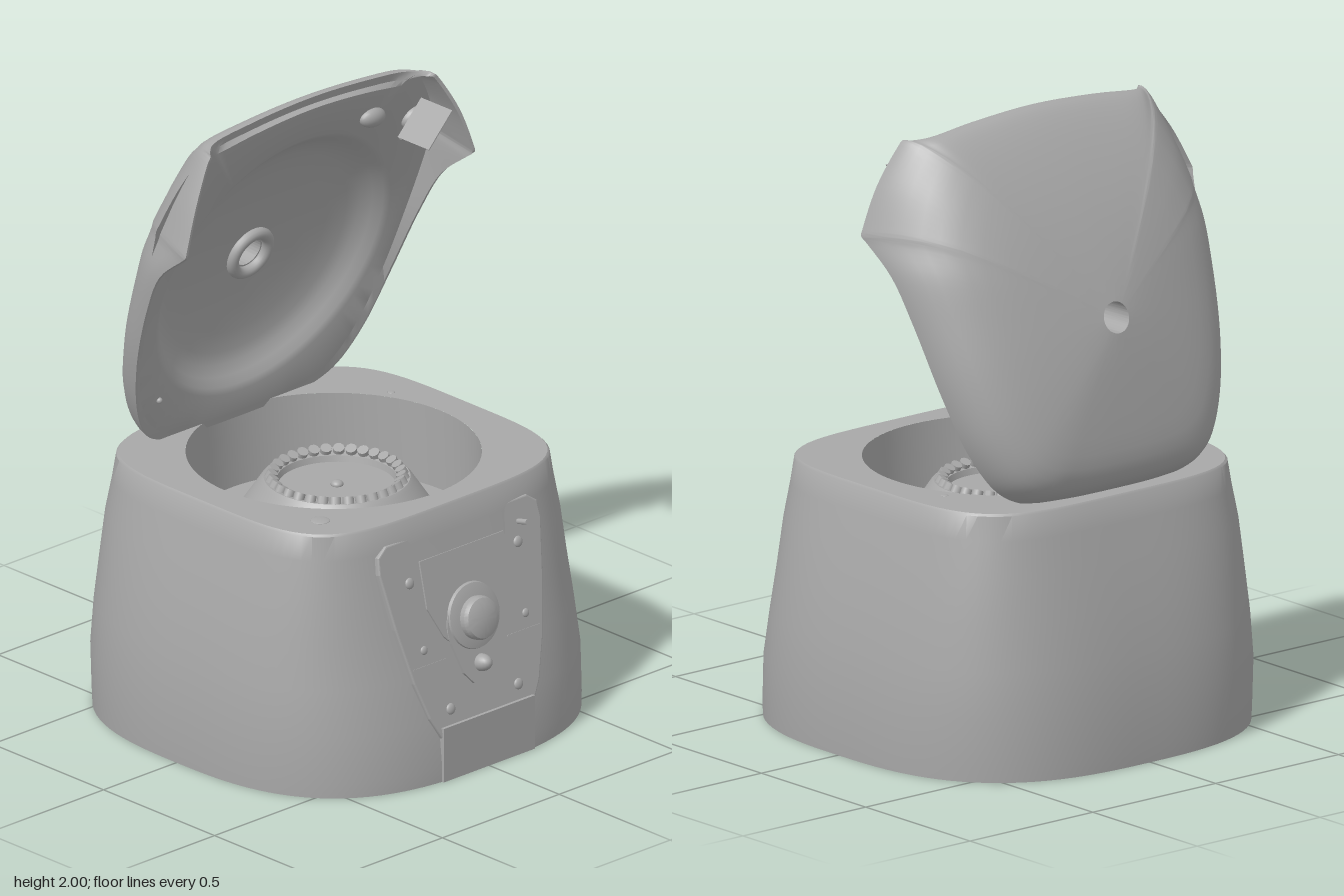
import * as THREE from 'three';
import { toCreasedNormals } from 'three/addons/utils/BufferGeometryUtils.js';

const grey = new THREE.MeshStandardMaterial({ color: 0xa8a8a8 });
grey.name = 'grey plastic';

const V = (x, y, z) => new THREE.Vector3(x, y, z);

function add(parent, name, geometry, x = 0, y = 0, z = 0) {
  const mesh = new THREE.Mesh(geometry, grey);
  mesh.name = name;
  mesh.position.set(x, y, z);
  parent.add(mesh);
  return mesh;
}

// Skin closed rings of equal length; the outside faces out when rings climb
function loft(rings, crease = 0.6) {
  const n = rings[0].length, pos = [], idx = [];
  rings.forEach(r => r.forEach(p => pos.push(p.x, p.y, p.z)));
  for (let i = 0; i < rings.length - 1; i++) {
    for (let j = 0; j < n; j++) {
      const a = i * n + j, b = i * n + (j + 1) % n, c = a + n, d = b + n;
      idx.push(a, c, b, b, c, d);
    }
  }
  const g = new THREE.BufferGeometry();
  g.setAttribute('position', new THREE.Float32BufferAttribute(pos, 3));
  g.setIndex(idx);
  return toCreasedNormals(g, crease);
}

const lathe = (pts, seg = 72) => toCreasedNormals(
  new THREE.LatheGeometry(pts.map(p => new THREE.Vector2(...p)), seg), 0.5);

const ball = (r, sx = 1, sy = 1, sz = 1) =>
  new THREE.SphereGeometry(r, 20, 14).scale(sx, sy, sz);

// Rounded-square ring with separate front and back depths
function bodyRing(y, hx, zf, zb, n, scale = 1, count = 120) {
  return Array.from({ length: count }, (_, i) => {
    const t = i / count * Math.PI * 2, c = Math.cos(t), s = Math.sin(t);
    const k = scale * (Math.abs(c) ** n + Math.abs(s) ** n) ** (-1 / n);
    return V(hx * c * k, y, (s > 0 ? zf : zb) * s * k);
  });
}

function buildBody(model) {
  // y, half width, front depth, back depth, squareness
  const sections = [
    [0, 0.688, 0.686, 0.688, 2.8], [0.05, 0.69, 0.686, 0.69, 2.8],
    [0.2, 0.688, 0.669, 0.688, 2.9], [0.35, 0.673, 0.636, 0.673, 3.0],
    [0.5, 0.648, 0.602, 0.648, 3.2], [0.65, 0.617, 0.569, 0.617, 3.6],
    [0.76, 0.59, 0.544, 0.59, 3.9], [0.838, 0.572, 0.528, 0.572, 4.2]];
  const rings = sections.map(s => bodyRing(...s));
  rings.unshift(bodyRing(0, 0.688, 0.686, 0.688, 2.8, 0.001));
  rings.push(bodyRing(0.845, 0.572, 0.528, 0.572, 4.2, 0.99));
  const mouthZ = -0.015;
  rings.push(bodyRing(0.845, 0.46, 0.46, 0.46, 2).map(p => p.setZ(p.z + mouthZ)));
  add(model, 'housing', loft(rings));

  // Chamber and rotor
  add(model, 'chamber', lathe([[0.46, 0.845], [0.46, 0.58], [0.32, 0.58]]), 0, 0, mouthZ);
  add(model, 'rotor', lathe([[0.345, 0.575], [0.345, 0.595], [0.238, 0.755],
    [0.228, 0.765], [0.188, 0.755], [0.183, 0.735], [0, 0.735]]));
  add(model, 'rotorHub', ball(0.02, 1, 0.7, 1), 0, 0.738, 0);
  for (let i = 0; i < 32; i++) {
    const holder = new THREE.Group();
    holder.name = 'tubeHolder';
    holder.rotation.y = i / 32 * Math.PI * 2;
    const tube = add(holder, 'tube', new THREE.CylinderGeometry(0.018, 0.018, 0.05, 10), 0.21, 0.755, 0);
    tube.rotation.z = 0.5;
    model.add(holder);
  }

  // Lid latch pins on the rim
  add(model, 'rimPin', ball(0.031, 1, 0.15, 1), -0.41, 0.845, 0.355);
  add(model, 'smallRimPin', ball(0.012, 1, 0.2, 1), 0.45, 0.845, -0.23);
}

function plate(pts, depth, bevel = 0) {
  const shape = new THREE.Shape();
  pts.forEach(([x, y], i) => i ? shape.lineTo(x, y) : shape.moveTo(x, y));
  return new THREE.ExtrudeGeometry(shape, { depth, bevelEnabled: bevel > 0,
    bevelSize: bevel, bevelThickness: bevel, bevelSegments: 3 });
}

function buildPanel(model) {
  const panel = new THREE.Group();
  panel.name = 'controlPanel';
  panel.position.set(0, 0.15, 0.68);
  panel.rotation.x = -0.226;
  model.add(panel);
  const up = y => (y - 0.15) / 0.975;
  const mirror = half => [...half, ...half.slice().reverse().map(([x, y]) => [-x, y])]
    .map(([x, y]) => [x, up(y)]);

  add(panel, 'panelFace', plate(mirror([[0.19, 0.15], [0.23, 0.22], [0.27, 0.34],
    [0.31, 0.52], [0.34, 0.7], [0.335, 0.75], [0.3, 0.775]]), 0.03, 0.006), 0, 0, -0.034);
  add(panel, 'displayPlate', plate(mirror([[0.07, 0.39], [0.13, 0.45], [0.18, 0.55],
    [0.18, 0.7]]), 0.007), 0, 0, 0.001);

  // Teardrop mount behind knob and button
  const tear = [];
  for (let i = 0; i <= 24; i++) {
    const a = -0.35 + (Math.PI + 0.7) * i / 24;
    tear.push([0.115 * Math.cos(a), up(0.46) + 0.115 * Math.sin(a)]);
  }
  tear.push([-0.075, up(0.32)], [-0.04, up(0.28)], [0, up(0.27)], [0.04, up(0.28)], [0.075, up(0.32)]);
  add(panel, 'knobMount', plate(tear, 0.009), 0, 0, 0.003);

  const collar = lathe([[0.108, 0], [0.104, 0.012], [0.08, 0.018], [0, 0.018]], 40);
  add(panel, 'knobCollar', collar.rotateX(Math.PI / 2), 0, up(0.483), 0.006);
  const knob = lathe([[0.068, 0], [0.07, 0.035], [0.064, 0.048], [0.045, 0.055], [0, 0.058]], 40);
  add(panel, 'knob', knob.rotateX(Math.PI / 2), 0, up(0.477), 0.008);
  add(panel, 'button', ball(0.028, 1, 1, 1.5), 0, up(0.335), 0.013);

  // Screws and side seams
  [[-0.23, 0.645, 0.018], [0.235, 0.65, 0.018], [-0.215, 0.43, 0.014],
    [0.22, 0.43, 0.014], [-0.145, 0.227, 0.018], [0.145, 0.227, 0.018]]
    .forEach(([x, y, r]) => add(panel, 'screw', ball(r, 1, 1, 0.5), x, up(y), 0.002));
  add(panel, 'peg', new THREE.CylinderGeometry(0.009, 0.009, 0.06, 10).rotateX(Math.PI / 2), 0.25, up(0.71), 0.015);
  for (const s of [-1, 1]) add(panel, 'seam', new THREE.BoxGeometry(0.14, 0.006, 0.006), s * 0.2, up(0.38), 0.001);

  // Flat tongue running down to the base
  add(model, 'frontTongue', new THREE.BoxGeometry(0.39, 0.18, 0.04), 0, 0.09, 0.666);
}

function buildLid(model) {
  // Local frame: x across, y out of the closed lid, z from hinge to front
  const lid = new THREE.Group();
  lid.name = 'lid';
  lid.position.set(0, 0.85, -0.45);
  lid.rotation.x = -1.277;
  model.add(lid);

  // Rim, one half: dips below the plate to form the pointed front flaps
  const half = [[0.2, 0, -0.025], [0.33, 0, -0.005], [0.41, -0.005, 0.045], [0.485, -0.01, 0.17],
    [0.545, -0.015, 0.37], [0.585, -0.035, 0.6], [0.607, -0.07, 0.765], [0.617, -0.15, 0.885],
    [0.62, -0.164, 0.907], [0.613, -0.157, 0.93], [0.565, -0.11, 1.05], [0.495, -0.055, 1.16],
    [0.48, -0.047, 1.175], [0.465, -0.03, 1.17], [0.42, 0.006, 1.168], [0.25, 0.017, 1.185]]
    .map(p => V(...p));
  const knots = [V(0, 0, -0.03), ...half, V(0, 0.02, 1.197),
    ...half.slice().reverse().map(p => V(-p.x, p.y, p.z))];
  const rim = new THREE.CatmullRomCurve3(knots, true, 'centripetal')
    .getPoints(knots.length * 5).slice(0, -1);

  // Blend from a circle (s = 0) to the rim (s = 1)
  const ring = (radius, s, height, cz) => rim.map(p => {
    const a = Math.atan2(p.z - cz, p.x);
    return V(THREE.MathUtils.lerp(radius * Math.cos(a), p.x, s), height(p, a),
      cz + THREE.MathUtils.lerp(radius * Math.sin(a), p.z - cz, s));
  });
  // Shallow peak with a rounded shoulder, tighter at the hinge than at the front
  const dome = s => (p, a) => {
    const k = 6 * 2.2 ** -Math.sin(a);
    return 0.131 * Math.sqrt(Math.max(0, 1 - s ** k)) + 0.1 * (1 - s ** 1.15) + p.y * s ** 8;
  };
  const rings = [1, 0.995, 0.98, 0.96, 0.93, 0.88, 0.82, 0.74, 0.64, 0.52, 0.4, 0.25, 0.1, 0]
    .map(s => ring(0.05, s, dome(s), 0.505));
  // Slanted hole and dished inside: radius, height, centre
  [[0.05, 0.11, 0.54], [0.1, 0.108, 0.542], [0.2, 0.1, 0.547], [0.3, 0.088, 0.553],
    [0.37, 0.075, 0.558], [0.41, 0.06, 0.56], [0.44, 0.035, 0.562], [0.465, 0.012, 0.563],
    [0.485, 0.001, 0.563]].forEach(([r, h, c]) => rings.push(ring(r, 0, () => h, c)));
  rings.push(ring(0.485, 0.8, () => 0, 0.563));
  rings.push(ring(0, 0.955, p => Math.max(0, p.y), 0.563));
  rings.push(ring(0, 0.985, p => p.y, 0.563), rings[0]);
  add(lid, 'lidShell', loft(rings, 0.7));

  // Porthole ring
  add(lid, 'portholeRing', new THREE.TorusGeometry(0.073, 0.02, 12, 40).rotateX(Math.PI / 2), 0, 0.102, 0.54);

  // Fittings on the underside: x, z, width, depth, turn
  [[0.29, 1.04, 0.052, 0.034, 0.15], [0.475, 0.98, 0.042, 0.03, -0.7],
    [-0.455, 0.968, 0.02, 0.02, 0], [-0.44, 0.905, 0.01, 0.01, 0],
    [0.455, 0.905, 0.01, 0.01, 0], [-0.38, 0.165, 0.01, 0.01, 0]]
    .forEach(([x, z, w, d, turn]) => {
      const pin = add(lid, 'lidFitting', ball(1, w, Math.min(0.03, w), d), x, -0.002, z);
      pin.rotation.y = turn;
    });

  // Thin latch blade standing out of the open lid
  const blade = add(model, 'latchBlade', new THREE.BoxGeometry(0.145, 0.004, 0.14), 0.425, 1.812, -0.05);
  blade.rotation.z = 0.8;
}

export function createModel() {
  const model = new THREE.Group();
  model.name = 'benchCentrifuge';
  buildBody(model);
  buildPanel(model);
  buildLid(model);
  return model;
}
